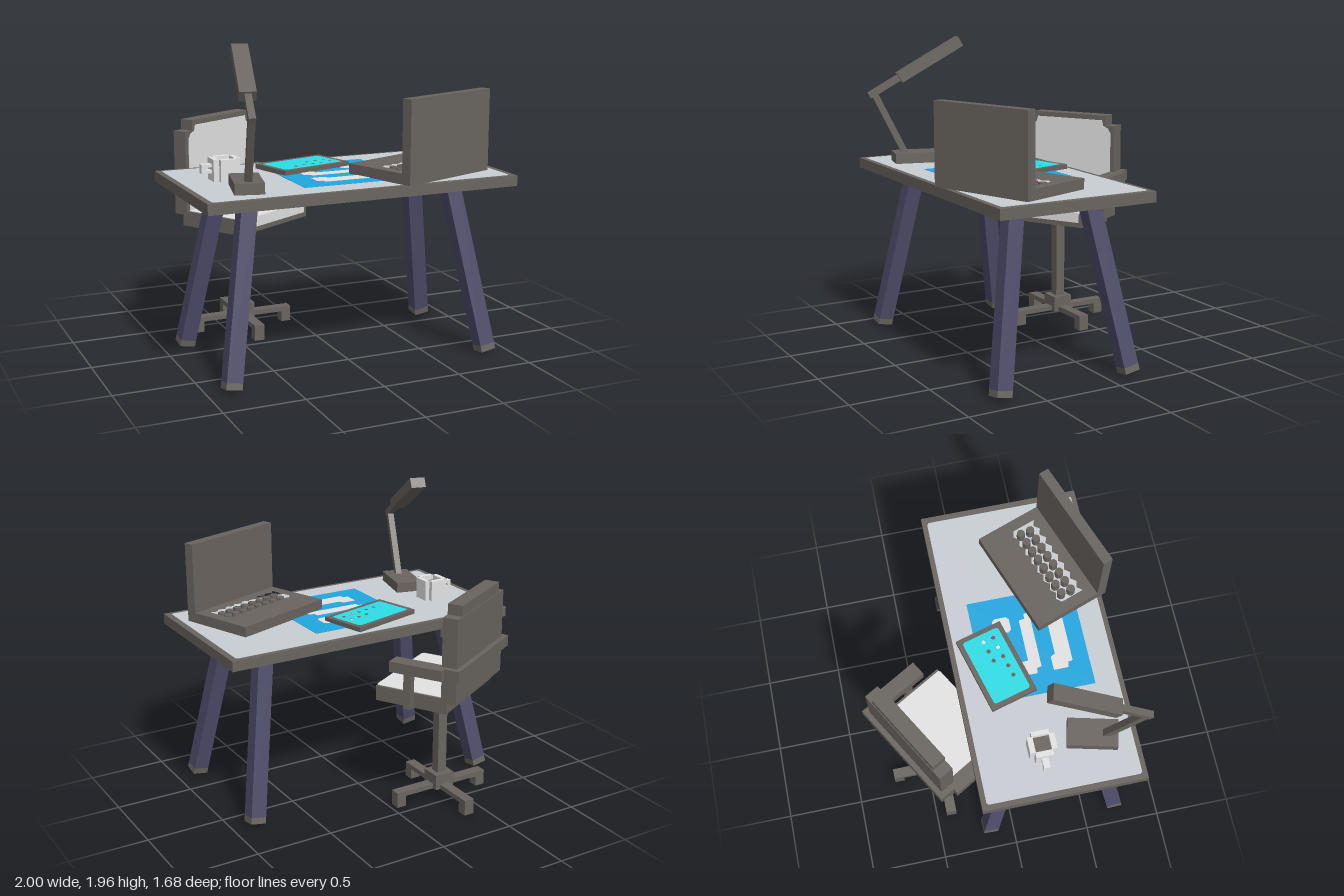
import * as THREE from 'three';

const flat = (name, color) => {
  const m = new THREE.MeshStandardMaterial({ color });
  m.name = name;
  return m;
};

export function createModel() {
  const dark = flat('darkFrame', 0x69645f);
  const legMat = flat('violetLegs', 0x4e4c69);
  const grey = flat('deskGrey', 0xc9ced4);
  const light = flat('lightGrey', 0xe3e3e3);
  const blue = flat('paperBlue', 0x1fa7e0);
  const teal = flat('screenTeal', 0x2cdde6);

  const model = new THREE.Group();
  model.name = 'deskSet';

  const group = (name, x = 0, y = 0, z = 0, yaw = 0, parent = model) => {
    const g = new THREE.Group();
    g.name = name;
    g.position.set(x, y, z);
    g.rotation.y = yaw;
    parent.add(g);
    return g;
  };
  const mesh = (parent, name, mat, geo) => {
    const m = new THREE.Mesh(geo, mat);
    m.name = name;
    parent.add(m);
    return m;
  };
  // Box given by its limits on each axis
  const box = (parent, name, mat, [x0, x1], [y0, y1], [z0, z1]) => {
    const m = mesh(parent, name, mat, new THREE.BoxGeometry(x1 - x0, y1 - y0, z1 - z0));
    m.position.set((x0 + x1) / 2, (y0 + y1) / 2, (z0 + z1) / 2);
    return m;
  };
  // Lying slab from x,z points, with optional holes
  const toPoints = (pts) => pts.map(([x, z]) => new THREE.Vector2(x, -z));
  const slab = (parent, name, mat, y, height, pts, holes = []) => {
    const shape = new THREE.Shape(toPoints(pts));
    shape.holes = holes.map((h) => new THREE.Path(toPoints(h)));
    const geo = new THREE.ExtrudeGeometry(shape, { depth: height, bevelEnabled: false });
    const m = mesh(parent, name, mat, geo.rotateX(-Math.PI / 2));
    m.position.y = y;
    return m;
  };
  // Rectangle with cut corners
  const cutRect = (x0, x1, z0, z1, c) => [
    [x0 + c, z0], [x1 - c, z0], [x1, z0 + c], [x1, z1 - c],
    [x1 - c, z1], [x0 + c, z1], [x0, z1 - c], [x0, z0 + c]];
  const rect = (x, z) => [[-x, -z], [x, -z], [x, z], [-x, z]];
  const ring = (x, z, r) => Array.from({ length: 8 }, (_, i) =>
    [x + r * Math.cos(i * Math.PI / 4), z + r * Math.sin(i * Math.PI / 4)]);
  // Square bar between two points of the z,y plane
  const bar = (parent, name, [z0, y0], [z1, y1], w, t) => {
    const m = mesh(parent, name, dark, new THREE.BoxGeometry(w, t, Math.hypot(z1 - z0, y1 - y0)));
    m.position.set(0, (y0 + y1) / 2, (z0 + z1) / 2);
    m.rotation.x = -Math.atan2(y1 - y0, z1 - z0);
  };

  // Desk
  const TOP = 1.143;
  const desk = group('desk');
  box(desk, 'tabletop', dark, [-1, 1], [1.077, TOP], [-0.235, 0.797]);
  slab(desk, 'deskMat', grey, TOP, 0.002, cutRect(-0.965, 0.96, -0.203, 0.766, 0.012));
  slab(desk, 'underside', light, 1.075, 0.002, cutRect(-0.985, 0.985, -0.22, 0.782, 0.005));
  for (const sx of [-1, 1]) for (const sz of [-1, 1]) {
    const leg = group('deskLeg', sx * 0.85, 0.017, 0.28 + sz * 0.44, 0, desk);
    leg.rotation.set(-sz * 0.174, 0, sx * 0.166);
    box(leg, 'legPost', legMat, [-0.05, 0.05], [0.04, 1.11], [-0.05, 0.05]);
    box(leg, 'legFoot', dark, [-0.05, 0.05], [0, 0.04], [-0.05, 0.05]);
  }

  // Paper with pale bars
  const paper = group('paper', 0, TOP + 0.002, 0);
  slab(paper, 'sheet', blue, 0, 0.002, [[-0.342, -0.064], [0.342, -0.064], [0.342, 0.62], [-0.342, 0.62]]);
  slab(paper, 'upperBar', light, 0.002, 0.002, [[-0.205, 0.2], [-0.115, 0.2], [-0.11, 0.24], [0.165, 0.24],
    [0.17, 0.275], [0.205, 0.28], [0.205, 0.315], [-0.165, 0.315], [-0.17, 0.285], [-0.205, 0.28]]);
  slab(paper, 'lowerBar', light, 0.002, 0.002, [[-0.205, 0.385], [-0.115, 0.385], [-0.1, 0.415], [0.2, 0.415],
    [0.2, 0.515], [-0.165, 0.515], [-0.17, 0.485], [-0.205, 0.48]]);
  slab(paper, 'smallPatch', light, 0.002, 0.002, cutRect(0.1, 0.205, 0.07, 0.18, 0.018));

  // Tablet: screen with small round wells
  const tablet = group('tablet', -0.11, TOP + 0.002, 0.035, 0.265);
  const screen = cutRect(-0.225, 0.225, -0.125, 0.125, 0.012);
  slab(tablet, 'tabletBack', dark, 0, 0.008, rect(0.255, 0.155));
  slab(tablet, 'tabletFrame', dark, 0.008, 0.022, rect(0.255, 0.155), [screen]);
  const wells = [];
  for (let i = 0; i < 5; i++) {
    const x = -0.104 + i * 0.069;
    wells.push([x, 0.067, i === 3]);
    if (i > 1) wells.push([x, 0, i === 4]);
  }
  slab(tablet, 'tabletScreen', teal, 0.008, 0.022, screen, wells.map(([x, z]) => ring(x, z, 0.014)));
  for (const [x, z, pale] of wells)
    if (pale) slab(tablet, 'paleDot', light, 0.008, 0.018, ring(x, z, 0.0138));

  // Laptop: sunken keyboard with tall keys, screen towards the desk front
  const laptop = group('laptop', 0.495, TOP + 0.002, 0.463, 0.347);
  const far = [], near = [];
  for (let i = 0; i <= 32; i++) {
    const x = -0.29 + i * 0.58 / 32, wave = 0.012 * Math.cos(i * Math.PI / 2);
    far.push([x, -0.045 + wave]);
    near.unshift([x, 0.11 + wave]);
  }
  slab(laptop, 'laptopBase', dark, 0, 0.066, rect(0.361, 0.253), [[...far, ...near]]);
  slab(laptop, 'keyboardFloor', grey, 0, 0.004, [...far, ...near]);
  box(laptop, 'laptopScreen', dark, [-0.361, 0.361], [0.066, 0.513], [0.188, 0.253]);
  for (let i = 0; i < 8; i++) for (const z of [0, 0.065])
    slab(laptop, 'key', dark, 0.004, 0.061, ring(-0.24 + i * 0.069 + (z ? 0 : 0.01), z, 0.027));

  // Mug
  const mug = group('mug', -0.69, TOP, 0.195);
  for (const s of [-1, 1]) {
    box(mug, 'mugSide', light, s < 0 ? [-0.085, -0.05] : [0.05, 0.08], [0, 0.137], [-0.055, 0.055]);
    box(mug, 'mugWall', light, [-0.05, 0.05], [0, 0.137], s < 0 ? [-0.085, -0.05] : [0.05, 0.085]);
    box(mug, 'handleProng', light, [-0.125, -0.085], s < 0 ? [0.05, 0.068] : [0.087, 0.105], [-0.02, 0.02]);
  }
  box(mug, 'handleGrip', light, [-0.15, -0.125], [0.05, 0.105], [-0.02, 0.02]);
  box(mug, 'coffee', dark, [-0.05, 0.05], [0, 0.105], [-0.05, 0.05]);

  // Lamp
  const lamp = group('lamp', -0.668, 0, 0.52, -0.24);
  box(lamp, 'lampBase', dark, [-0.088, 0.088], [TOP, 1.212], [-0.157, 0.157]);
  bar(lamp, 'lowerArm', [0.08, 1.2], [0.285, 1.62], 0.042, 0.042);
  bar(lamp, 'upperArm', [0.31, 1.59], [0.1, 1.71], 0.042, 0.042);
  bar(lamp, 'lampHead', [0.112, 1.702], [-0.295, 1.935], 0.1, 0.067);

  // Swivel chair: straight cross base, turned seat
  const chair = group('chair', -0.375, 0, -0.4);
  const base = group('chairBase', 0, 0, 0, 0, chair);
  box(base, 'stem', dark, [-0.032, 0.032], [0.1, 0.74], [-0.032, 0.032]);
  box(base, 'hub', dark, [-0.068, 0.068], [0.07, 0.172], [-0.068, 0.068]);
  for (let i = 0; i < 4; i++) {
    const spoke = group('spoke', 0, 0, 0, i * Math.PI / 2, base);
    box(spoke, 'spokeBar', dark, [0.06, 0.342], [0.07, 0.102], [-0.034, 0.034]);
    box(spoke, 'spokeFoot', dark, [0.276, 0.342], [0, 0.07], [-0.034, 0.034]);
  }

  const seat = group('chairSeat', 0, 0, 0, Math.PI / 6, chair);
  box(seat, 'seatPan', dark, [-0.34, 0.34], [0.733, 0.83], [-0.196, 0.29]);
  slab(seat, 'seatCushionTop', light, 0.83, 0.003, cutRect(-0.325, 0.325, -0.16, 0.29, 0.008));
  box(seat, 'seatCushionFront', light, [-0.314, 0.314], [0.765, 0.833], [0.288, 0.293]);
  box(seat, 'backrest', dark, [-0.344, 0.344], [0.805, 1.352], [-0.26, -0.16]);
  box(seat, 'backrestCap', dark, [-0.278, 0.278], [1.352, 1.42], [-0.255, -0.16]);
  // Back cushion, drawn lying down and then stood up against the backrest
  const backCushion = slab(seat, 'backCushion', light, 0, 0.003, [[-0.315, -0.83], [0.315, -0.83],
    [0.315, -1.3], [0.295, -1.335], [0.26, -1.35], [0.25, -1.388], [-0.25, -1.388], [-0.26, -1.35],
    [-0.295, -1.335], [-0.315, -1.3]]);
  backCushion.rotation.x = Math.PI / 2;
  backCushion.position.z = -0.16;
  box(seat, 'backBand', dark, [-0.38, 0.38], [0.97, 1.04], [-0.292, -0.19]);
  for (const s of [-1, 1]) {
    const span = (a, b) => (s > 0 ? [a, b] : [-b, -a]);
    box(seat, 'armrest', dark, span(0.315, 0.415), [0.971, 1.039], [-0.193, 0.16]);
    box(seat, 'armPost', dark, span(0.338, 0.388), [0.735, 0.975], [0.025, 0.075]);
  }
  return model;
}
